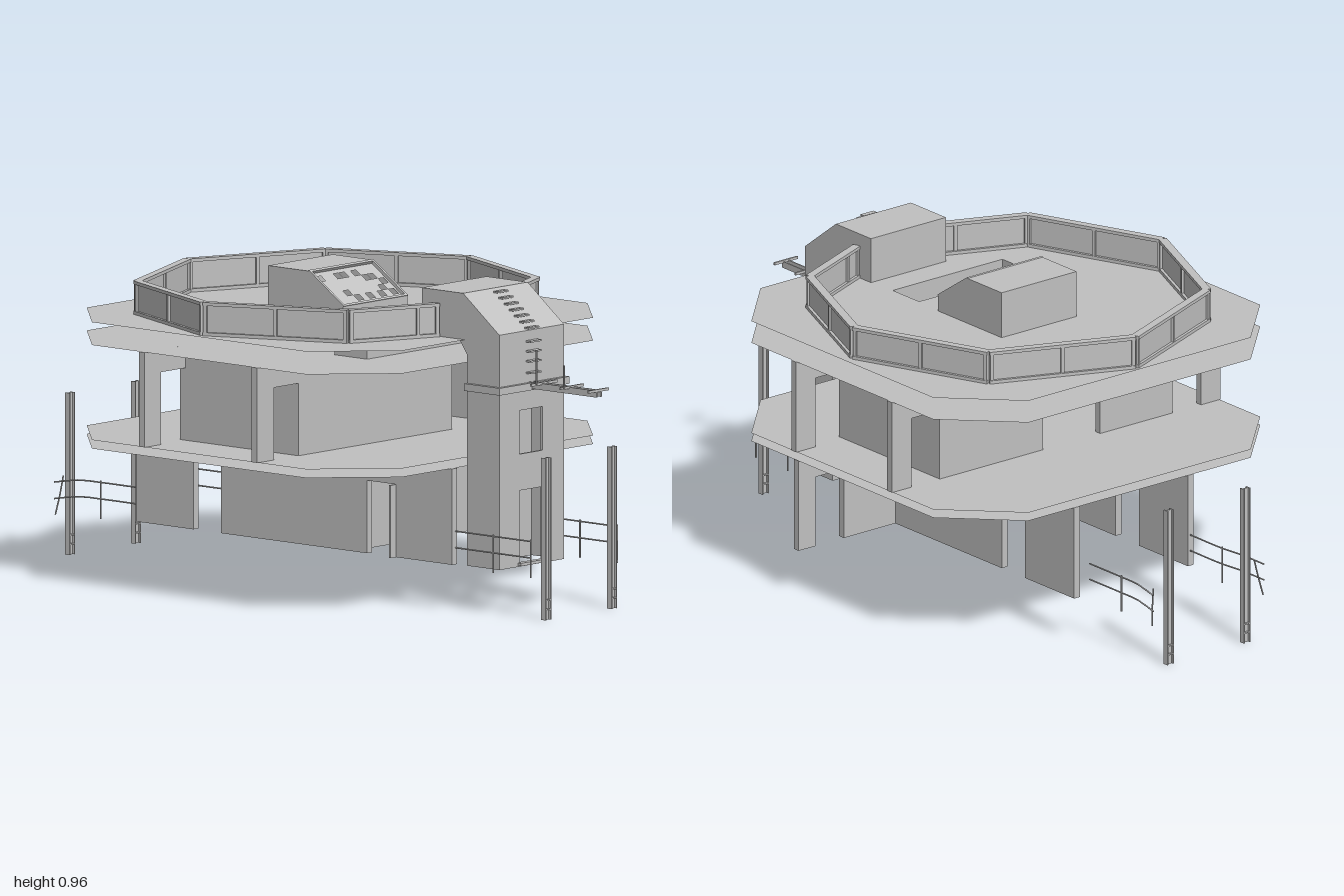
import * as THREE from 'three';

const grey = new THREE.MeshStandardMaterial({ color: 0xc0c0c0, side: THREE.DoubleSide });
grey.name = 'concrete grey';

export function createModel() {
  const root = new THREE.Group();
  root.name = 'building';

  const add = (geo, name, parent = root) => {
    const m = new THREE.Mesh(geo, grey);
    m.name = name;
    parent.add(m);
    return m;
  };
  const group = (name) => {
    const g = new THREE.Group();
    g.name = name;
    root.add(g);
    return g;
  };
  // box given by its limits
  const box = (name, x0, x1, y0, y1, z0, z1, parent) => {
    const m = add(new THREE.BoxGeometry(x1 - x0, y1 - y0, z1 - z0), name, parent);
    m.position.set((x0 + x1) / 2, (y0 + y1) / 2, (z0 + z1) / 2);
    return m;
  };
  // upright bar between two ground points [x, z]
  const beam = (name, a, b, y0, y1, w, parent) => {
    const dx = b[0] - a[0], dz = b[1] - a[1];
    const m = add(new THREE.BoxGeometry(Math.hypot(dx, dz), y1 - y0, w), name, parent);
    m.position.set((a[0] + b[0]) / 2, (y0 + y1) / 2, (a[1] + b[1]) / 2);
    m.rotation.y = Math.atan2(-dz, dx);
    return m;
  };
  const rod = (name, pts, parent, r = 0.0025) => {
    const path = new THREE.CatmullRomCurve3(pts.map((p) => new THREE.Vector3(...p)));
    return add(new THREE.TubeGeometry(path, pts.length > 2 ? 8 : 1, r, 5), name, parent);
  };
  // profile of [z, y] points extruded from x0 to x1
  const extrudeX = (name, profile, x0, x1, parent) => {
    const shape = new THREE.Shape(profile.map((p) => new THREE.Vector2(...p)));
    const geo = new THREE.ExtrudeGeometry(shape, { depth: x1 - x0, bevelEnabled: false });
    geo.rotateY(-Math.PI / 2).translate(x1, 0, 0);
    return add(geo, name, parent);
  };
  const rectHole = (x0, x1, y0, y1) => new THREE.Path([
    new THREE.Vector2(x0, y0), new THREE.Vector2(x0, y1),
    new THREE.Vector2(x1, y1), new THREE.Vector2(x1, y0)]);

  // Floors and ceilings: thin eight-sided sheets with stair openings
  const outline = [[-0.43, -0.667], [0.43, -0.667], [0.632, -0.466], [0.632, 0.39],
    [0.43, 0.593], [-0.43, 0.593], [-0.632, 0.39], [-0.632, -0.466]];
  const upperStair = [-0.29, 0.14, 0.2, 0.33], lowerStair = [-0.18, 0.25, 0.05, 0.175];
  const sheet = (name, y, [x0, x1, z0, z1]) => {
    const s = new THREE.Shape(outline.map(([x, z]) => new THREE.Vector2(x, -z)));
    s.holes.push(rectHole(x0, x1, -z1, -z0));
    add(new THREE.ShapeGeometry(s).rotateX(-Math.PI / 2), name).position.y = y;
  };
  sheet('roofDeck', 0.812, upperStair);
  sheet('upperCeiling', 0.743, upperStair);
  sheet('upperFloor', 0.456, lowerStair);
  sheet('lowerCeiling', 0.43, lowerStair);
  const shaft = (name, [x0, x1, z0, z1], y0, y1) => {
    const g = group(name), t = 0.003;
    for (const x of [x0, x1 - t]) box('shaftSide', x, x + t, y0, y1, z0, z1, g);
    for (const z of [z0, z1 - t]) box('shaftEnd', x0, x1, y0, y1, z, z + t, g);
  };
  shaft('upperStairShaft', upperStair, 0.73, 0.812);
  shaft('lowerStairShaft', lowerStair, 0.43, 0.456);

  // Walls with doorways, along x or along z
  const wall = (name, axis, at, from, to, y, doors) => {
    const g = group(name), [y0, yDoor, y1] = y, t = 0.011;
    const piece = (n, a, b, lo, hi) => (axis === 'x'
      ? box(n, a, b, lo, hi, at - t, at + t, g) : box(n, at - t, at + t, lo, hi, a, b, g));
    let a = from;
    for (const [d0, d1] of doors) {
      piece('wallPanel', a, d0, y0, y1);
      piece('lintel', d0, d1, yDoor, y1);
      a = d1;
    }
    piece('wallPanel', a, to, y0, y1);
  };
  const up = [0.456, 0.675, 0.743], low = [0.14, 0.36, 0.43];
  wall('upperFrontWall', 'x', 0.187, -0.635, 0.635, up, [[-0.56, -0.45], [0.24, 0.36], [0.45, 0.56]]);
  wall('upperBackWall', 'x', -0.264, -0.635, 0.635, up, [[-0.56, -0.45], [-0.17, 0.05], [0.45, 0.56]]);
  for (const s of [-1, 1]) wall('upperSideWall', 'z', s * 0.439, -0.264, 0.187, up, []);
  wall('lowerFrontWall', 'x', 0.187, -0.21, 0.625, low, [[0.45, 0.56]]);
  wall('lowerRightWall', 'z', -0.2, -0.665, 0.6, low, [[-0.435, -0.325], [0.26, 0.37]]);
  wall('lowerLeftWall', 'z', 0.24, -0.665, 0.187, low, [[-0.435, -0.325]]);
  box('doorLeaf', -0.237, -0.211, 0.14, 0.36, 0.37, 0.376);

  // Parapet ring of framed panels, open where the tower meets it
  const ring = group('parapet'), R = 0.61, cz = -0.05;
  const corner = (k, r) => [r * Math.sin(k * Math.PI / 4), cz + r * Math.cos(k * Math.PI / 4)];
  const mix = (a, b, t) => [a[0] + (b[0] - a[0]) * t, a[1] + (b[1] - a[1]) * t];
  for (let k = 0; k < 8; k++) {
    const a = corner(k, R - 0.014), b = corner(k + 1, R - 0.014);
    const cut = 0.145 / 0.42;
    const start = k === 0 ? cut : 0, end = k === 7 ? 1 - cut : 1;
    const p = mix(a, b, start), q = mix(a, b, end);
    beam('parapetPanel', p, q, 0.815, 0.908, 0.008, ring);
    beam('bottomRail', p, q, 0.812, 0.822, 0.026, ring);
    beam('topRail', p, q, 0.903, 0.913, 0.026, ring);
    for (const t of [start + 0.015, 0.5, end - 0.015]) {
      beam('parapetPost', mix(a, b, t - 0.012), mix(a, b, t + 0.012), 0.815, 0.91, 0.022, ring);
    }
  }

  // Roof skylight: hollow housing with a pierced sloping panel
  const sky = group('skylight');
  const skySide = [[0.105, 0.745], [0.105, 0.86], [-0.035, 0.955], [-0.195, 0.955], [-0.195, 0.745]];
  for (const x of [-0.145, 0.139]) extrudeX('skylightSide', skySide, x, x + 0.006, sky);
  box('skylightTop', -0.145, 0.145, 0.949, 0.955, -0.195, -0.035, sky);
  box('skylightBack', -0.145, 0.145, 0.745, 0.955, -0.195, -0.189, sky);
  box('skylightFront', -0.145, 0.145, 0.745, 0.86, 0.099, 0.105, sky);
  const slope = new THREE.Group();
  slope.name = 'slopingWindow';
  slope.position.set(0, 0.86, 0.105);
  slope.rotation.x = -Math.atan2(0.14, 0.095);
  sky.add(slope);
  const L = 0.169, cw = 0.026, ch = 0.025;
  const pane = new THREE.Shape([[-0.139, 0], [0.139, 0], [0.139, L], [-0.139, L]]
    .map((p) => new THREE.Vector2(...p)));
  for (const [c, r] of [[0, 0], [3, 0], [4, 0], [6, 0], [7, 1], [8, 1], [2, 3], [3, 4], [5, 4],
    [7, 4], [8, 3], [9, 2], [9, 4]]) {
    const x = -0.13 + c * cw, y = L - 0.022 - r * ch;
    pane.holes.push(rectHole(x + 0.001, x + cw - 0.001, y - ch + 0.001, y - 0.001));
  }
  add(new THREE.ShapeGeometry(pane), 'piercedPane', slope).position.z = -0.006;
  for (const y of [0, L - 0.008]) box('paneFrame', -0.145, 0.145, y, y + 0.008, -0.006, 0.004, slope);
  for (const x of [-0.145, 0.137]) box('paneFrame', x, x + 0.008, 0, L, -0.006, 0.004, slope);

  // Entrance tower: hollow shaft with two doorways, hooded at the top
  const tower = group('tower');
  for (const z of [0.6, 0.722]) {
    const s = new THREE.Shape([[-0.145, 0.13], [0.145, 0.13], [0.145, 0.67], [-0.145, 0.67]]
      .map((p) => new THREE.Vector2(...p)));
    s.holes.push(rectHole(-0.054, 0.05, 0.14, 0.36), rectHole(-0.054, 0.05, 0.47, 0.602));
    const geo = new THREE.ExtrudeGeometry(s, { depth: 0.008, bevelEnabled: false });
    add(geo, z > 0.7 ? 'towerFront' : 'towerBack', tower).position.z = z;
  }
  for (const x of [-0.145, 0.137]) box('towerSide', x, x + 0.008, 0.13, 0.67, 0.6, 0.73, tower);
  box('doorStep', -0.06, 0.055, 0.133, 0.142, 0.722, 0.742, tower);
  extrudeX('towerHood', [[0.73, 0.66], [0.73, 0.84], [0.585, 0.952], [0.42, 0.952], [0.42, 0.812],
    [0.57, 0.812], [0.6, 0.77], [0.6, 0.66]], -0.145, 0.145, tower);
  box('towerBand', -0.157, 0.157, 0.66, 0.682, 0.6, 0.742, tower);
  for (const y of [0.71, 0.745, 0.775, 0.805]) box('ladderRung', -0.025, 0.025, y, y + 0.005, 0.73, 0.748, tower);
  for (let i = 0; i < 7; i++) {
    const t = (i + 0.3) / 7, y = 0.84 + 0.112 * t, z = 0.73 - 0.145 * t;
    box('ladderRung', -0.025, 0.025, y, y + 0.005, z, z + 0.016, tower);
  }

  // Boom reaching forward from the tower
  const boom = group('boom');
  for (const x of [-0.012, 0.008]) box('boomRail', x, x + 0.004, 0.664, 0.684, 0.73, 1.0, boom);
  for (const [z, w] of [[0.78, 0.06], [0.89, 0.052], [0.997, 0.045]]) {
    box('boomCrossbar', -w, w, 0.68, 0.688, z - 0.003, z + 0.003, boom);
  }
  rod('boomMast', [[-0.045, 0.685, 0.79], [-0.045, 0.79, 0.79]], boom);
  rod('boomMast', [[-0.045, 0.685, 0.9], [-0.045, 0.755, 0.9]], boom);

  // Free-standing I-beam posts
  for (const z of [0.92, -0.985]) for (const s of [-1, 1]) {
    const g = group('post');
    g.position.set(s * 0.148, 0, z);
    for (const x of [-0.013, 0.009]) box('flange', x, x + 0.004, 0, 0.49, -0.009, 0.009, g);
    box('web', -0.01, 0.01, 0, 0.49, -0.002, 0.002, g);
    for (const y of [0.03, 0.058]) box('postRung', -0.011, 0.011, y, y + 0.004, -0.009, 0.009, g);
  }

  // Handrails in front and behind; one back rail is bent outward
  for (const s of [-1, 1]) {
    const g = group('handrail'), x = s * 0.195, bend = s < 0 ? -0.03 : 0.008;
    for (const y of [0.19, 0.24]) {
      rod('frontRail', [[x, y, 0.6], [x, y, 0.9]], g);
      rod('backRail', [[x, y, -0.67], [x, y, -0.82], [x + bend * 0.3, y, -0.9], [x + bend, y - 0.012, -0.98]], g);
    }
    for (const z of [0.75, 0.9]) rod('railPost', [[x, 0.13, z], [x, 0.245, z]], g);
    rod('railPost', [[x, 0.13, -0.82], [x, 0.245, -0.82]], g);
    rod('railPost', [[x + bend, 0.13, -0.975], [x + bend * 0.5, 0.19, -0.97], [x, 0.245, -0.97]], g);
  }
  return root;
}
